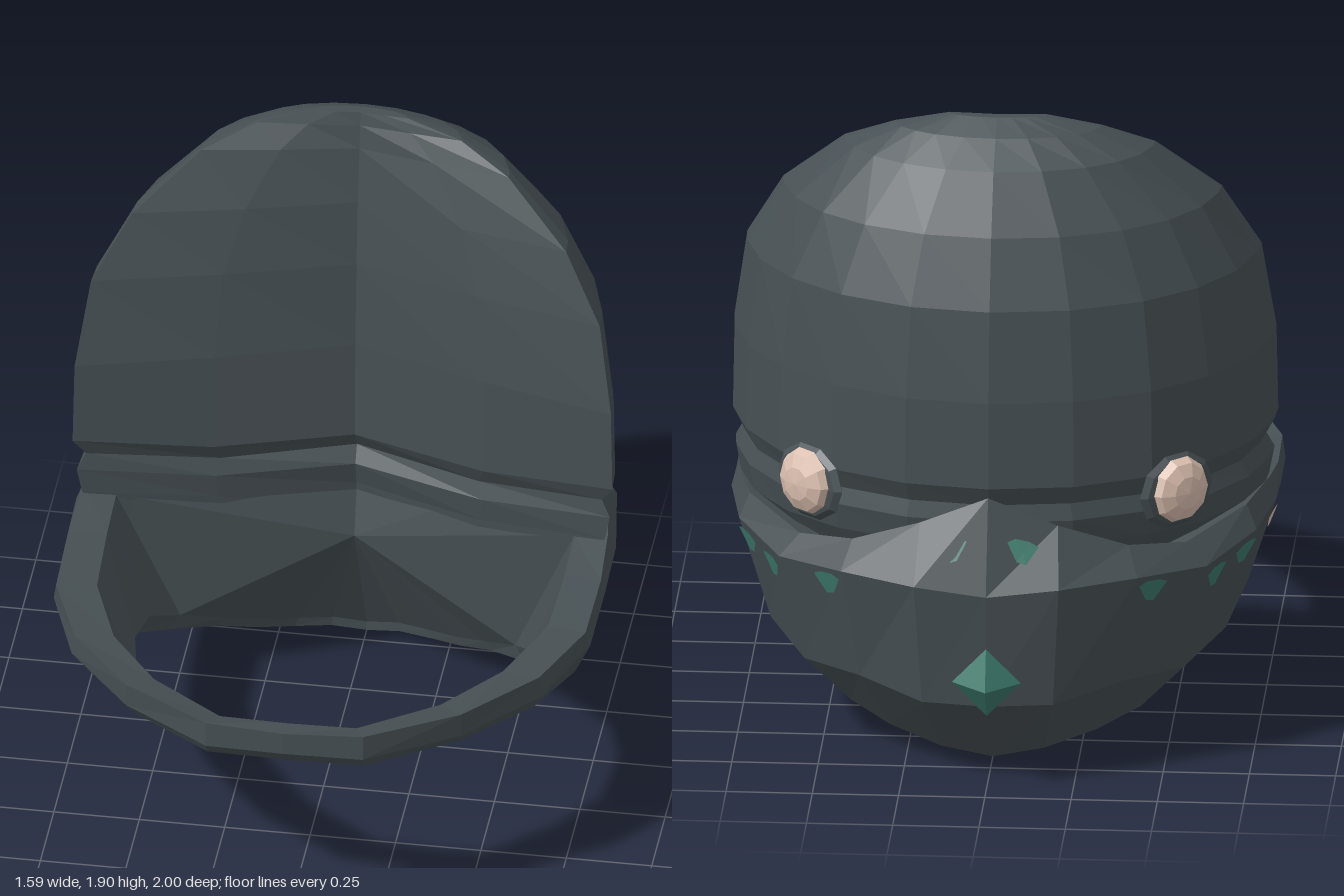
import * as THREE from 'three';

const dark = new THREE.MeshStandardMaterial({ color: 0x475054 });
dark.name = 'slate grey';
const teal = new THREE.MeshStandardMaterial({ color: 0x3d7a6c });
teal.name = 'teal';
const cream = new THREE.MeshStandardMaterial({ color: 0xdcc0b0 });
cream.name = 'cream';

// Flat-shaded geometry from a list of corner points
function facets(points) {
  const g = new THREE.BufferGeometry();
  g.setAttribute('position', new THREE.Float32BufferAttribute(points.flat(), 3));
  g.computeVertexNormals();
  return g;
}

// Skin closed cross-sections; optionally join last section to the first
function loft(sections, closed) {
  const out = [];
  const n = sections.length, m = sections[0].length;
  for (let i = 0; i < (closed ? n : n - 1); i++) {
    const a = sections[i], b = sections[(i + 1) % n];
    for (let j = 0; j < m; j++) {
      const k = (j + 1) % m;
      out.push(a[j], a[k], b[j], a[k], b[k], b[j]);
    }
  }
  return out;
}

function fan(centre, loop) {
  return loop.flatMap((p, i) => [centre, p, loop[(i + 1) % loop.length]]);
}

const flip = ([x, y, z]) => [-x, y, z];
const mix = (a, b, t) => a.map((v, i) => v + (b[i] - v) * t);

// Bowl and ring, columns from front to back:
// rim top, widest line, side, lower edge
const ribs = [
  [[0, .70, 1], [0, .63, 1], [0, .59, .97], [0, .56, .93]],
  [[.23, .70, .98], [.23, .62, .98], [.23, .58, .95], [.22, .555, .9]],
  [[.49, .69, .81], [.49, .61, .8], [.48, .57, .77], [.45, .53, .7]],
  [[.68, .67, .56], [.69, .6, .55], [.66, .54, .52], [.6, .48, .47]],
  [[.775, .66, .3], [.785, .6, .28], [.74, .5, .27], [.63, .43, .23]],
  [[.78, .67, .05], [.79, .62, .03], [.74, .46, 0], [.6, .3, 0]],
  [[.77, .70, -.15], [.79, .64, -.17], [.71, .4, -.2], [.52, .2, -.18]],
  [[.72, .71, -.42], [.75, .64, -.44], [.66, .33, -.42], [.4, .13, -.32]],
  [[.56, .67, -.64], [.62, .6, -.65], [.55, .27, -.6], [.3, .08, -.4]],
  [[.4, .70, -.76], [.43, .62, -.82], [.38, .28, -.76], [.2, .04, -.48]],
  [[.2, .78, -.83], [.21, .62, -.94], [.19, .25, -.89], [.1, .02, -.53]],
  [[0, .87, -.86], [0, .6, -.96], [0, .25, -.92], [0, 0, -.55]],
];
// Bulge between side and lower edge on the back columns
const bulge = [[.68, .37, 0], [.62, .28, -.2], [.54, .2, -.4], [.42, .12, -.53],
  [.3, .08, -.62], [.15, .04, -.68], [0, .01, -.68]];
// Inner lower edge and inner top crease of the ring columns
const inner = [
  [[0, .6, .89], [0, .69, .93]], [[.16, .58, .87], [.2, .68, .91]],
  [[.37, .55, .67], [.42, .67, .74]], [[.51, .5, .48], [.57, .66, .53]],
  [[.555, .45, .23], [.66, .65, .27]], [[.555, .34, -.04], [.67, .66, .02]],
  [[.49, .24, -.2], [.67, .68, -.15]],
];

const columns = ribs.map(([top, wide, side, low], i) => {
  const mid = i < 5 ? mix(side, low, .5) : bulge[i - 5];
  const [edge, crease] = inner[i] ||
    [[low[0] * .95, low[1] + .03, low[2]], [top[0] * .88, top[1] - .03, top[2] * .94]];
  return [top, wide, side, mid, low, edge, crease];
});

function bowl() {
  const left = columns.slice(1, -1).reverse().map(c => c.map(flip));
  return facets(loft([...columns, ...left], true));
}

// Hollow faceted wall filling the back of the opening
function innerWall() {
  const edge = columns.slice(6).map(c => c[5]);
  const half = [[0, .74, -.4], [.35, .70, -.26], columns[6][6], ...edge];
  const loop = [...half, ...half.slice(1, -1).reverse().map(flip)].reverse();
  return facets(fan([0, .49, -.32], loop));
}

// Collar and tall crescent shell: height, half width, front centre z, front edge z, back z
const levels = [
  [.62, .70, -.37, -.14, -.76], [.70, .765, -.36, -.12, -.80],
  [.78, .78, -.34, -.115, -.82], [.83, .755, -.37, -.13, -.81],
  [.89, .79, -.33, -.10, -.84], [1.15, .785, -.34, -.105, -.835],
  [1.42, .745, -.36, -.155, -.80], [1.62, .635, -.385, -.23, -.725],
  [1.79, .45, -.415, -.335, -.63], [1.86, .3, -.43, -.40, -.54],
  [1.9, .14, -.44, -.43, -.47],
];

function crest() {
  const sections = levels.map(([y, w, zf, zs, zb]) => {
    const drop = y < .95 ? .05 : 0;
    const half = [[0, y - drop, zf], [w * .5, y - drop, zf + (zs - zf) * .55], [w, y, zs]];
    for (const deg of [7, 22, 38, 54, 72, 90]) {
      const t = deg * Math.PI / 180;
      half.push([deg === 90 ? 0 : w * Math.cos(t), y, zs + (zb - zs) * Math.sin(t)]);
    }
    return [...half, ...half.slice(1, -1).reverse().map(flip)];
  });
  const top = sections[sections.length - 1];
  return facets([...loft(sections, false), ...fan([0, 1.9, -.45], top)]);
}

// Point on the bowl at column u and row v
function onBowl(u, v) {
  const i = Math.min(Math.floor(u), 10), j = Math.floor(v);
  const a = mix(columns[i][j], columns[i][j + 1], v - j);
  const b = mix(columns[i + 1][j], columns[i + 1][j + 1], v - j);
  return mix(a, b, u - i);
}

// Thin rounded-triangle patch lying on the bowl
function patch(u, v, du, dv, side) {
  const shape = [[-1, -.7], [-.4, -1], [.5, -1], [1, -.6], [.4, .8], [-.2, 1]];
  const centre = new THREE.Vector3(...onBowl(u, v));
  const e = .02;
  const su = new THREE.Vector3(...onBowl(u + e, v)).sub(centre);
  const sv = new THREE.Vector3(...onBowl(u, v + e)).sub(centre);
  const n = sv.cross(su).normalize().multiplyScalar(.009);
  const lift = p => [(p[0] + n.x) * side, p[1] + n.y, p[2] + n.z];
  const loop = shape.map(([a, b]) => lift(onBowl(u + a * du, v + b * dv)));
  if (side > 0) loop.reverse();
  return facets(fan(lift(centre.toArray()), loop));
}

export function createModel() {
  const model = new THREE.Group();
  model.name = 'jawedHelm';
  const add = (geometry, material, name) => {
    const mesh = new THREE.Mesh(geometry, material);
    mesh.name = name;
    model.add(mesh);
    return mesh;
  };

  add(bowl(), dark, 'bowlAndRing');
  add(innerWall(), dark, 'innerWall');
  add(crest(), dark, 'crestShell');

  const ball = facets(new THREE.SphereGeometry(1, 10, 6).rotateX(Math.PI / 2)
    .toNonIndexed().attributes.position.array.reduce((list, v, i) => {
      if (i % 3 === 0) list.push([]);
      list[list.length - 1].push(v);
      return list;
    }, []));

  for (const side of [1, -1]) {
    const label = side > 0 ? 'left' : 'right';

    // Eye discs seated in low sockets
    const socket = add(ball, dark, label + 'EyeSocket');
    socket.scale.set(.135, .115, .03);
    socket.position.set(.53 * side, .83, -.64);
    const eye = add(ball, cream, label + 'Eye');
    eye.scale.set(.1, .1, .05);
    eye.position.set(.54 * side, .835, -.65);
    for (const part of [socket, eye]) part.rotation.y = Math.atan2(.68 * side, -.73);

    // Row of spots under the rim
    const spots = [[7.21, 1.14, .2, .1], [7.8, 1.15, .18, .1],
      [8.78, 1.13, .2, .1], [10.5, .5, .22, .15]];
    for (const [u, v, du, dv] of spots) add(patch(u, v, du, dv, side), teal, label + 'Spot');
    add(patch(6.21, 1.14, .2, .1, side), cream, label + 'PaleSpot');
  }

  // Pointed gem at the back
  const gem = add(new THREE.OctahedronGeometry(1), teal, 'backGem');
  gem.scale.set(.1, .11, .065);
  gem.position.set(0, .33, -.935);
  gem.rotation.x = -.15;

  return model;
}
